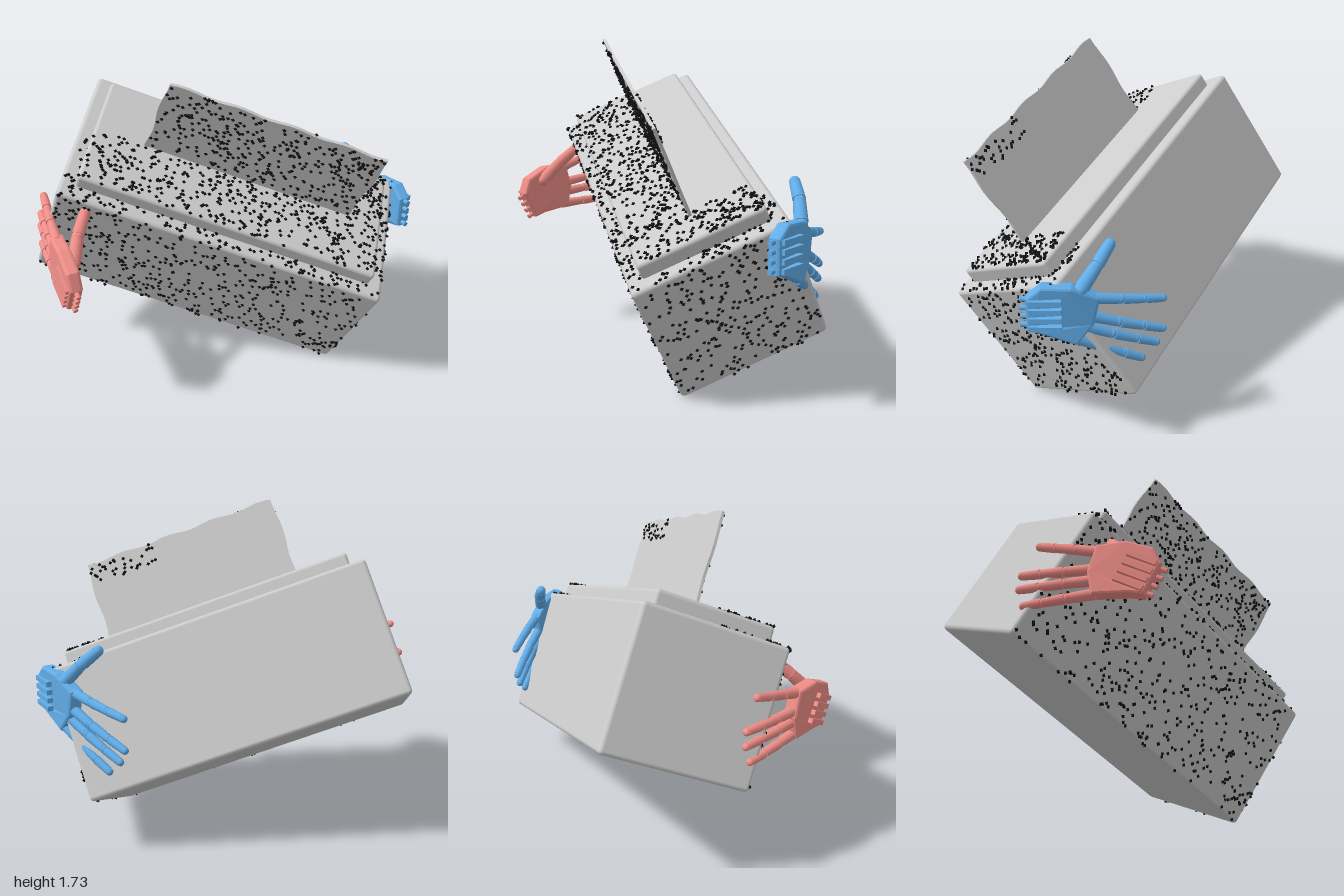
import * as THREE from 'three';
import { mergeGeometries } from 'three/addons/utils/BufferGeometryUtils.js';
import { RoundedBoxGeometry } from 'three/addons/geometries/RoundedBoxGeometry.js';

const V = (x, y, z) => new THREE.Vector3(x, y, z);

function addMesh(parent, name, geometry, material) {
  const mesh = new THREE.Mesh(geometry, material);
  mesh.name = name;
  parent.add(mesh);
  return mesh;
}

// Small seeded generator for the scattered dots
function seeded(seed) {
  return () => {
    seed = (seed * 1664525 + 1013904223) % 4294967296;
    return seed / 4294967296;
  };
}

// Tapered rod between two points
function rod(a, b, ra, rb) {
  const dir = b.clone().sub(a);
  const g = new THREE.CylinderGeometry(rb, ra, dir.length(), 14);
  g.applyQuaternion(new THREE.Quaternion().setFromUnitVectors(V(0, 1, 0), dir.normalize()));
  const mid = a.clone().add(b).multiplyScalar(0.5);
  return g.translate(mid.x, mid.y, mid.z);
}

// Jointed digit: rods with ball joints and a round tip
function digit(points, radius) {
  const parts = [];
  points.forEach((p, i) => {
    const r = radius * (1 - 0.08 * i);
    parts.push(new THREE.SphereGeometry(r, 14, 10).translate(p.x, p.y, p.z));
    const next = points[i + 1];
    if (next) parts.push(rod(p.clone().lerp(next, 0.1), p.clone().lerp(next, 0.94), r * 1.08, r * 0.94));
  });
  return mergeGeometries(parts);
}

// Hand in the z-y plane around a palm centre; side is +1 or -1 along x
function makeHand(name, color, side, curl, centre, tilt, thumb) {
  const mat = new THREE.MeshStandardMaterial({ color });
  const hand = new THREE.Group();
  hand.name = name;
  const inner = new THREE.Group();
  inner.name = name + 'Main';
  inner.position.copy(centre);
  inner.rotation.x = tilt;
  hand.add(inner);

  // Palm plate, outline given as [z, y]
  const outline = [[0.17, 0.07], [0.1, 0.13], [-0.04, 0.12], [-0.17, 0.05],
    [-0.14, -0.09], [-0.06, -0.19], [0.1, -0.12], [0.17, -0.1]];
  const shape = new THREE.Shape(outline.map(([z, y]) => new THREE.Vector2(-z, y)));
  const palm = new THREE.ExtrudeGeometry(shape, {
    depth: 0.04, bevelEnabled: true, bevelSize: 0.012, bevelThickness: 0.015, bevelOffset: -0.012, bevelSegments: 2,
  });
  palm.translate(0, 0, -0.02).rotateY(Math.PI / 2);
  const p = palm.attributes.position;
  const bend = z => -side * curl * Math.pow(Math.max(0, 0.07 - z) / 0.52, 1.5);
  for (let i = 0; i < p.count; i++) p.setX(i, p.getX(i) + bend(p.getZ(i)));
  palm.computeVertexNormals();
  addMesh(inner, 'palm', palm, mat);

  // Fingers, [base z, base y, tip z, tip y]
  [[-0.13, 0.04, -0.46, -0.03], [-0.11, -0.05, -0.46, -0.2],
    [-0.08, -0.1, -0.43, -0.27], [-0.04, -0.16, -0.36, -0.34]].forEach(([z0, y0, z1, y1], i) => {
    const pts = [0, 0.4, 0.72, 1].map(t => {
      const z = z0 + (z1 - z0) * t;
      return V(bend(z), y0 + (y1 - y0) * t, z);
    });
    addMesh(inner, 'finger' + (i + 1), digit(pts, 0.026), mat);
  });

  // Tendon housings across the back of the palm and wrist pins
  const bits = [];
  for (let i = 0; i < 4; i++) {
    const y = 0.055 - i * 0.045;
    bits.push(new THREE.BoxGeometry(0.03, 0.026, 0.15).translate(side * 0.036, y, 0.08));
    bits.push(rod(V(0, y, 0.15), V(0, y, 0.2), 0.013, 0.013));
  }
  addMesh(inner, 'wristDetails', mergeGeometries(bits), mat);

  // Thumb
  const [a, b] = thumb;
  const joints = [a, a.clone().lerp(b, 0.55).add(V(side * 0.012, 0, 0)), b];
  addMesh(hand, 'thumb', digit(joints, 0.033), mat);
  return hand;
}

export function createModel() {
  const model = new THREE.Group();
  model.name = 'carriedBox';
  const grey = new THREE.MeshStandardMaterial({ color: 0xcccccc });
  const black = new THREE.MeshStandardMaterial({ color: 0x111111 });

  // Tilted frame: x along the length, y through the lid, z through the long side
  const X = V(0.8, -0.337, 0.494).normalize();
  const Z = X.clone().cross(V(0.04, 0.852, 0.522)).normalize();
  const Y = Z.clone().cross(X);
  const box = new THREE.Group();
  box.name = 'box';
  box.quaternion.setFromRotationMatrix(new THREE.Matrix4().makeBasis(X, Y, Z));
  box.position.set(0.02, 0.758, 0.005);
  model.add(box);

  addMesh(box, 'body', new RoundedBoxGeometry(1.73, 0.73, 0.8, 3, 0.022), grey);
  const lid = addMesh(box, 'lid', new RoundedBoxGeometry(1.58, 0.13, 0.65, 3, 0.02), grey);
  lid.position.y = 0.38;

  // Upright flap on the lid with slightly uneven edges
  const flapGeo = new THREE.BoxGeometry(1.12, 0.53, 0.016, 24, 12, 1);
  const fp = flapGeo.attributes.position;
  for (let i = 0; i < fp.count; i++) {
    const x = fp.getX(i), y = fp.getY(i);
    fp.setY(i, y + (y > 0.26 ? 0.007 * Math.sin(x * 23) : 0));
    fp.setX(i, x + Math.sign(x) * (Math.abs(x) > 0.55 ? 0.007 * Math.sin(y * 19) : 0));
  }
  flapGeo.computeVertexNormals();
  addMesh(box, 'flap', flapGeo, grey).position.set(0.04, 0.68, 0);

  // Scattered contact dots
  const rnd = seeded(7);
  const between = (a, b) => a + (b - a) * rnd();
  function dots(name, count, place) {
    const parts = [];
    for (let i = 0; i < count; i++) {
      const [x, y, z] = place();
      parts.push(new THREE.OctahedronGeometry(0.011).translate(x, y, z));
    }
    addMesh(box, name, mergeGeometries(parts), black);
  }
  const lidY = (x, z) => (Math.abs(x) < 0.785 && Math.abs(z) < 0.32 ? 0.447 : 0.367);
  const onLid = (x, z) => [x, lidY(x, z), z];
  dots('sideDots', 480, () => [between(-0.86, 0.86), between(-0.36, 0.36), 0.402]);
  dots('endDots', 270, () => [0.867, between(-0.36, 0.36), between(-0.39, 0.39)]);
  dots('lidDots', 560, () => onLid(between(-0.85, 0.86), between(0.01, 0.395)));
  dots('lidEndDots', 150, () => onLid(between(0.57, 0.86), between(-0.38, 0.01)));
  dots('flapDots', 360, () => [between(-0.51, 0.59), between(0.46, 0.94), 0.01]);
  dots('flapBackDots', 35, () => [between(0.2, 0.59), between(0.82, 0.94), -0.009]);

  // Hands gripping both ends
  model.add(makeHand('leftHand', 0x62aeea, 1, 0.16, V(0.955, 0.81, 0.3), 0,
    [V(0.93, 0.9, 0.22), V(0.8, 1.07, 0.09)]));
  model.add(makeHand('rightHand', 0xf08e88, -1, 0.06, V(-0.94, 0.85, 0.19), 0.5,
    [V(-0.9, 0.9, 0.24), V(-0.775, 1.08, 0.1)]));
  return model;
}
